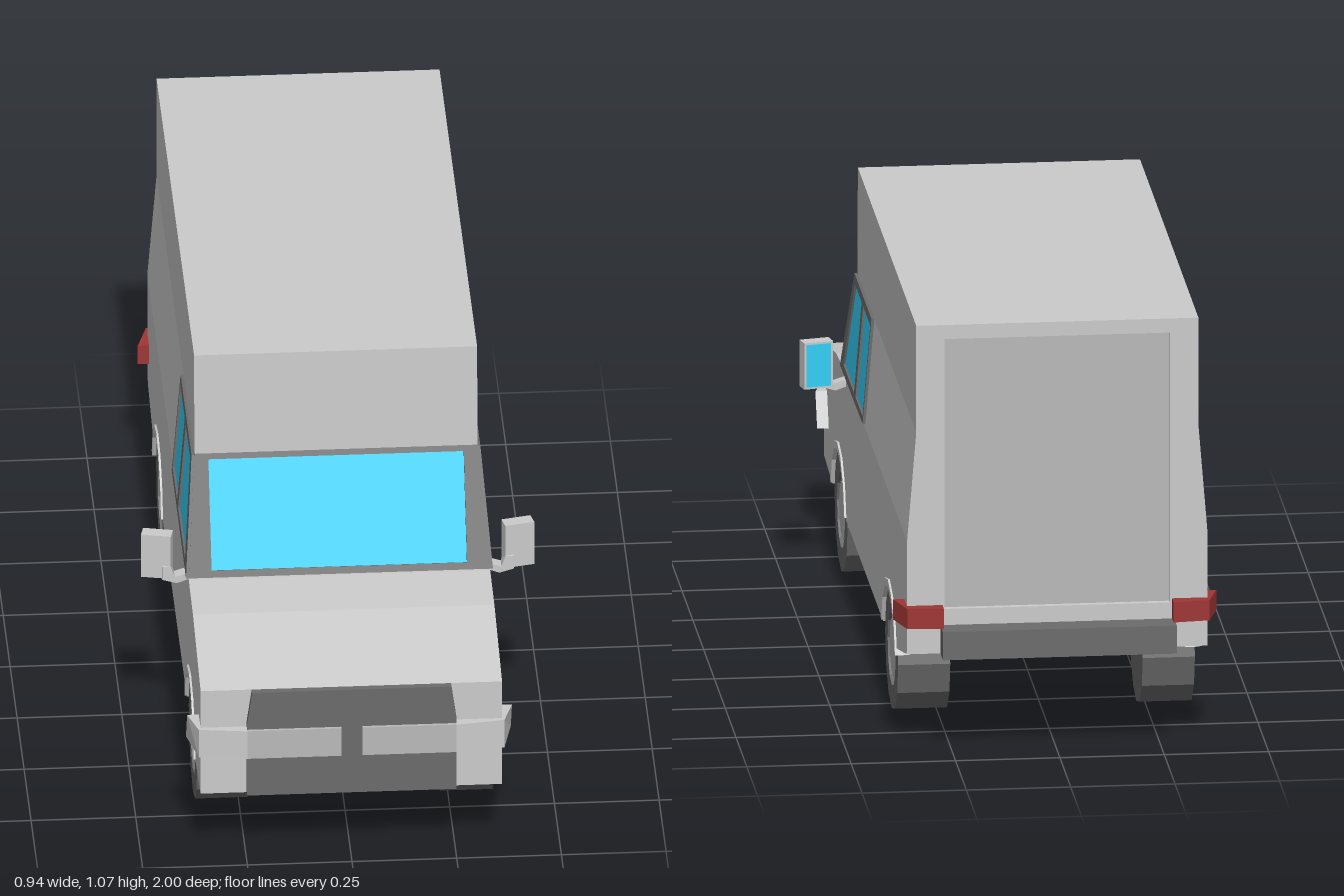
import * as THREE from 'three';

const paint = (color) => new THREE.MeshStandardMaterial({ color, flatShading: true });

// half width of the bodywork at height y
const halfWidth = (y) => 0.36 - 0.022 * THREE.MathUtils.clamp((y - 0.53) / 0.27, 0, 1);

function makeShape(points, holes = []) {
  const shape = new THREE.Shape(points.map(([a, b]) => new THREE.Vector2(a, b)));
  for (const h of holes) shape.holes.push(new THREE.Path(h.map(([a, b]) => new THREE.Vector2(a, b))));
  return shape;
}

// outline in x, y pushed along z
function frontPrism(points, z0, z1, holes) {
  const g = new THREE.ExtrudeGeometry(makeShape(points, holes), { depth: z1 - z0, bevelEnabled: false });
  return g.translate(0, 0, z0);
}

// outline in z, y pushed along x
function sidePrism(points, x0, x1, holes) {
  return frontPrism(points, -x1, -x0, holes).rotateY(-Math.PI / 2);
}

// outline in x, z pushed upward
function planPrism(points, y0, y1) {
  return frontPrism(points.map(([x, z]) => [x, -z]), y0, y1).rotateX(-Math.PI / 2);
}

function editVertices(g, rule) {
  const p = g.attributes.position;
  const v = new THREE.Vector3();
  for (let i = 0; i < p.count; i++) {
    rule(v.fromBufferAttribute(p, i));
    p.setXYZ(i, v.x, v.y, v.z);
  }
  g.computeVertexNormals();
  return g;
}

function arc(cz, r, fromDeg, toDeg, n) {
  return Array.from({ length: n + 1 }, (_, i) => {
    const t = THREE.MathUtils.degToRad(fromDeg + ((toDeg - fromDeg) * i) / n);
    return [cz + r * Math.cos(t), 0.15 + r * Math.sin(t)];
  });
}

export function createModel() {
  const model = new THREE.Group();
  model.name = 'van';
  const body = paint(0xcccccc);
  const dark = paint(0x6c6c6c);
  const panel = paint(0xb9b9b9);
  const glass = paint(0x35d0f8);
  const red = paint(0xa03636);

  const add = (name, geometry, material) => {
    const mesh = new THREE.Mesh(geometry, material);
    mesh.name = name;
    model.add(mesh);
    return mesh;
  };
  const box = (x0, x1, y0, y1, z0, z1) =>
    new THREE.BoxGeometry(x1 - x0, y1 - y0, z1 - z0).translate((x0 + x1) / 2, (y0 + y1) / 2, (z0 + z1) / 2);

  const axles = [-0.54, 0.63];

  // lower body with wheel arches cut through the underside
  add('lowerBody', sidePrism([
    [-0.92, 0.53], [-0.92, 0.245], [-0.7, 0.195],
    ...arc(axles[0], 0.155, 168, 8, 6),
    ...arc(axles[1], 0.155, 172, 8, 6),
    [0.975, 0.185], [0.975, 0.465], [0.7, 0.52], [0.55, 0.53],
  ], -0.36, 0.36), body);

  // tapering middle section and cargo box
  add('cabin', editVertices(
    sidePrism([[-0.92, 0.53], [0.54, 0.53], [0.41, 0.8], [-0.92, 0.8]], -0.36, 0.36),
    (v) => { v.x *= halfWidth(v.y) / 0.36; }), body);
  add('highRoof', sidePrism([[-0.92, 0.8], [0.422, 0.8], [0.41, 1.065], [-0.92, 1.065]], -0.338, 0.338), body);

  // rear frame with the recessed door
  add('rearFrame', frontPrism(
    [[-0.36, 0.25], [0.36, 0.25], [0.36, 0.53], [0.338, 0.8], [0.338, 1.065],
      [-0.338, 1.065], [-0.338, 0.8], [-0.36, 0.53]], -0.94, -0.92,
    [[[-0.27, 0.36], [-0.27, 1.03], [0.27, 1.03], [0.27, 0.36]]]), body);
  add('rearDoor', box(-0.27, 0.27, 0.36, 1.03, -0.925, -0.915), panel);
  add('rearBumper', box(-0.28, 0.28, 0.25, 0.32, -1, -0.94), dark);

  // windscreen frame and glass, leaning back
  const lean = Math.atan2(0.13, 0.27);
  const w0 = 0.305;
  const screenHole = [[-w0, 0.017], [-w0, 0.283], [w0, 0.283], [w0, 0.017]];
  const screen = (g) => g.rotateX(-lean).translate(0, 0.53, 0.54);
  add('windscreenFrame', screen(frontPrism(
    [[-0.36, 0], [0.36, 0], [0.338, 0.3], [-0.338, 0.3]], 0, 0.012, [screenHole])), dark);
  add('windscreen', screen(frontPrism(screenHole, -0.005, 0.003)), glass);

  // grille
  add('grille', frontPrism(
    [[-0.25, 0.185], [0.25, 0.185], [0.25, 0.38], [0.238, 0.465], [-0.238, 0.465], [-0.25, 0.38]],
    0.96, 0.992), dark);

  const panes = [
    [[0.49, 0.555], [0.395, 0.78], [0.24, 0.78], [0.24, 0.555]],
    [[0.205, 0.555], [0.205, 0.78], [0.042, 0.78], [0.042, 0.555]],
  ];

  // tyre and hub profiles, as radius and distance along the axle
  const lathe = (pts) => new THREE.LatheGeometry(pts.map(([r, y]) => new THREE.Vector2(r, y)), 12);

  for (const s of [1, -1]) {
    const side = s > 0 ? 'left' : 'right';
    const slab = (pts, a, b, holes) => sidePrism(pts, Math.min(s * a, s * b), Math.max(s * a, s * b), holes);
    const follow = (g) => editVertices(g, (v) => { v.x += s * (halfWidth(v.y) - 0.36); });

    // side windows
    add(side + 'WindowFrame', follow(slab(
      [[0.55, 0.535], [0.422, 0.8], [0.03, 0.8], [0.03, 0.54]], 0.355, 0.367, panes)), dark);
    for (const pane of panes) add(side + 'Window', follow(slab(pane, 0.355, 0.362)), glass);

    // headlamp inside the grille and lamp wrapped round the corner
    const x = (a, b) => [Math.min(s * a, s * b), Math.max(s * a, s * b)];
    add(side + 'Headlamp', box(...x(0.025, 0.25), 0.29, 0.365, 0.97, 1), panel);
    add(side + 'CornerLamp', editVertices(planPrism(
      [[0.25, 0.96], [0.25, 1], [0.365, 0.985], [0.388, 0.89], [0.355, 0.89]].map(([a, z]) => [s * a, z]),
      0.29, 0.365),
    (v) => { if (v.z < 0.9) { v.z += v.y > 0.33 ? 0.02 : -0.02; if (v.y < 0.33) v.y -= 0.006; } }), body);

    // tail lamp
    add(side + 'TailLamp', planPrism(
      [[0.275, -0.93], [0.275, -0.975], [0.362, -0.965], [0.387, -0.88], [0.35, -0.88]].map(([a, z]) => [s * a, z]),
      0.32, 0.37), red);

    // door mirror
    add(side + 'MirrorArm', frontPrism(
      [[0.35, 0.525], [0.39, 0.512], [0.4, 0.54], [0.42, 0.54], [0.42, 0.505], [0.385, 0.495], [0.35, 0.508]]
        .map(([a, y]) => [s * a, y]), 0.47, 0.5), body);
    const mirror = new THREE.Group();
    mirror.name = side + 'Mirror';
    mirror.position.set(s * 0.431, 0.563, 0.473);
    mirror.rotation.y = s * 0.22;
    const housing = new THREE.Mesh(new THREE.BoxGeometry(0.072, 0.115, 0.034), body);
    housing.name = 'mirrorHousing';
    const mirrorGlass = new THREE.Mesh(new THREE.BoxGeometry(0.062, 0.105, 0.004), glass);
    mirrorGlass.name = 'mirrorGlass';
    mirrorGlass.position.z = -0.017;
    mirror.add(housing, mirrorGlass);
    model.add(mirror);

    for (const z of axles) {
      // arch lip
      add(side + 'WheelArch', slab(
        [...arc(z, 0.17, 170, 10, 6), ...arc(z, 0.152, 10, 170, 6)], 0.33, 0.365), body);

      // wheel
      const wheel = new THREE.Group();
      wheel.name = side + (z > 0 ? 'FrontWheel' : 'RearWheel');
      const tyre = new THREE.Mesh(lathe(
        [[0, -0.0625], [0.15, -0.0625], [0.15, 0.0625], [0.092, 0.0625], [0.088, 0.045], [0, 0.045]]), dark);
      tyre.name = 'tyre';
      const hub = new THREE.Mesh(lathe([[0.09, 0.046], [0.09, 0.052], [0.077, 0.052], [0.07, 0.06], [0, 0.06]]), panel);
      hub.name = 'hub';
      wheel.add(tyre, hub);
      wheel.rotation.z = (-s * Math.PI) / 2;
      wheel.position.set(s * 0.293, 0.15, z);
      model.add(wheel);
    }
  }
  return model;
}
